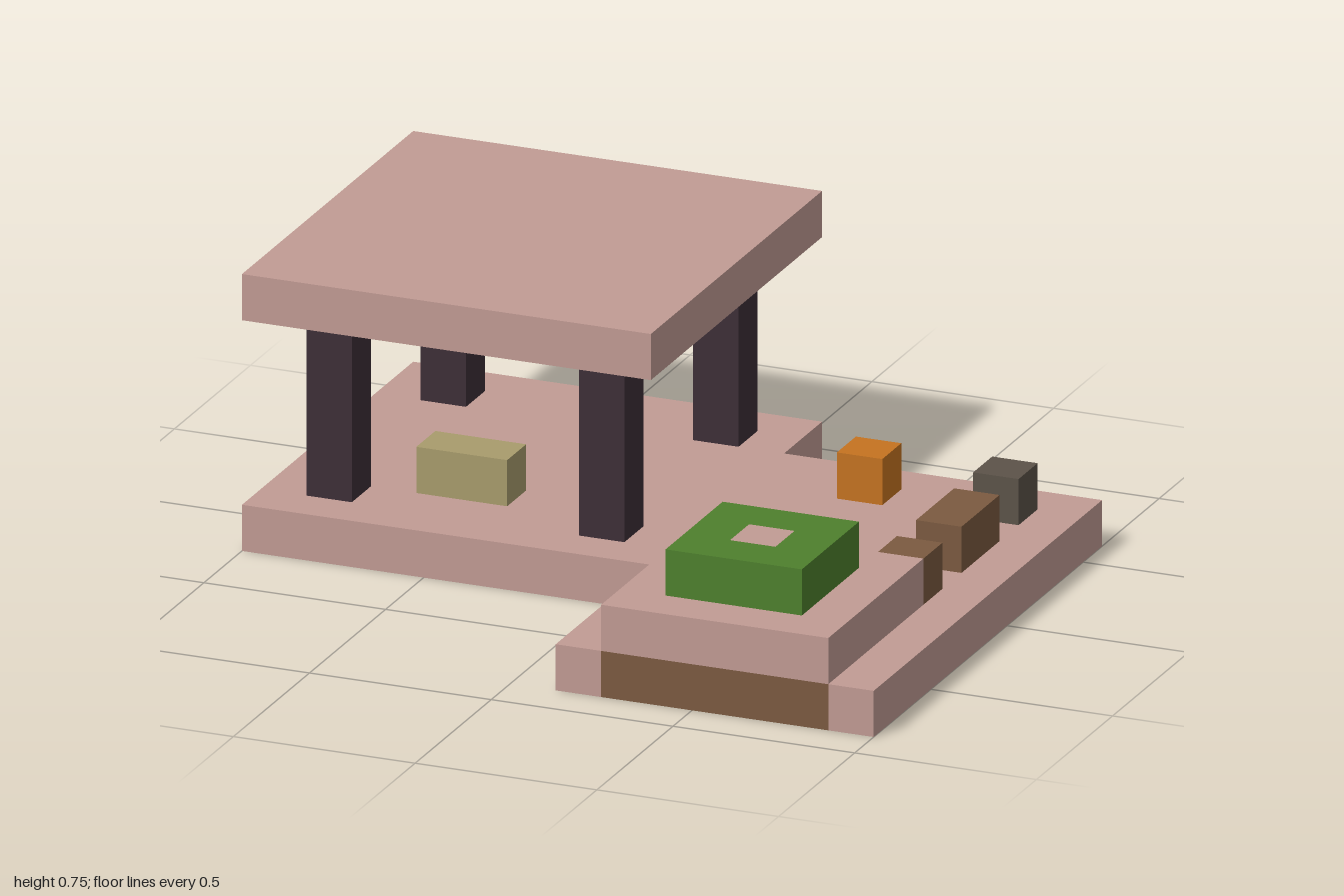
import * as THREE from 'three';

const mat = (name, color) => {
  const m = new THREE.MeshStandardMaterial({ color });
  m.name = name;
  return m;
};

// Outline given as [x, z] pairs, seen from above
const outline = (pts, Type = THREE.Shape) =>
  new Type(pts.map(([x, z]) => new THREE.Vector2(x, -z)));

const rect = (x0, x1, z0, z1) => [[x0, z0], [x1, z0], [x1, z1], [x0, z1]];

export function createModel() {
  const group = new THREE.Group();
  const stone = mat('pink stone', 0xc19b94);
  const dark = mat('dark timber', 0x3c2e37);
  const grass = mat('green', 0x4e802d);
  const brown = mat('brown wood', 0x7b5a40);
  const orange = mat('orange', 0xc57320);
  const grey = mat('grey rock', 0x5c5349);
  const ochre = mat('lantern ochre', 0xb08844);
  const beige = mat('beige', 0xa89c6c);
  const water = mat('blue water', 0x3658b8);

  const add = (name, geometry, material) => {
    const mesh = new THREE.Mesh(geometry, material);
    mesh.name = name;
    group.add(mesh);
    return mesh;
  };
  const box = (name, material, [x0, x1], [y0, y1], [z0, z1]) =>
    add(name, new THREE.BoxGeometry(x1 - x0, y1 - y0, z1 - z0), material)
      .position.set((x0 + x1) / 2, (y0 + y1) / 2, (z0 + z1) / 2);
  const slab = (name, material, shape, y, height) => {
    const g = new THREE.ExtrudeGeometry(shape, { depth: height, bevelEnabled: false });
    g.rotateX(-Math.PI / 2);
    add(name, g, material).position.y = y;
  };

  // Stepped floor, notched at the front for the wooden footing
  const floor = outline([
    [-1, -0.875], [0.125, -0.875], [0.125, -0.625], [1, -0.625], [1, 0.875],
    [0.875, 0.875], [0.875, 0.25], [0.25, 0.25], [0.25, 0.875],
    [0.125, 0.875], [0.125, 0.25], [-1, 0.25],
  ]);
  // Small octagonal plug through the floor
  const plug = [];
  for (let i = 0; i < 8; i++) {
    const a = (i + 0.5) * Math.PI / 4;
    plug.push([0.4375 + 0.058 * Math.cos(a), -0.4375 + 0.058 * Math.sin(a)]);
  }
  floor.holes.push(outline(plug, THREE.Path));
  slab('floor', stone, floor, 0, 0.125);
  slab('floorPlug', grey, outline(plug), 0, 0.125);

  // Pavilion: four posts, roof, hanging lantern and bench
  for (const x of [-0.875, -0.125])
    for (const z of [-0.75, 0])
      box('post', dark, [x, x + 0.125], [0.125, 0.625], [z, z + 0.125]);
  box('roof', stone, [-1, 0.125], [0.625, 0.75], [-0.875, 0.25]);
  box('lantern', ochre, [-0.5, -0.375], [0.5, 0.625], [-0.375, -0.25]);
  box('bench', beige, [-0.625, -0.375], [0.125, 0.25], [-0.125, 0]);

  // Raised pool with a planted rim
  box('poolFooting', brown, [0.25, 0.875], [0, 0.125], [0.25, 0.875]);
  box('poolTerrace', stone, [0.25, 0.875], [0.125, 0.25], [0.25, 0.875]);
  const rim = outline(rect(0.375, 0.75, 0.375, 0.75));
  rim.holes.push(outline(rect(0.5, 0.625, 0.5, 0.625), THREE.Path));
  slab('poolRim', grass, rim, 0.25, 0.125);
  box('poolWater', water, [0.5, 0.625], [0.25, 0.254], [0.5, 0.625]);

  // Loose blocks on the terrace
  box('longCrate', brown, [0.75, 0.875], [0.125, 0.25], [-0.25, 0]);
  box('crate', brown, [0.75, 0.875], [0.125, 0.25], [0.125, 0.25]);
  box('rock', grey, [0.75, 0.875], [0.125, 0.25], [-0.5, -0.375]);
  box('orangeBlock', orange, [0.375, 0.5], [0.125, 0.25], [-0.5, -0.375]);

  return group;
}
